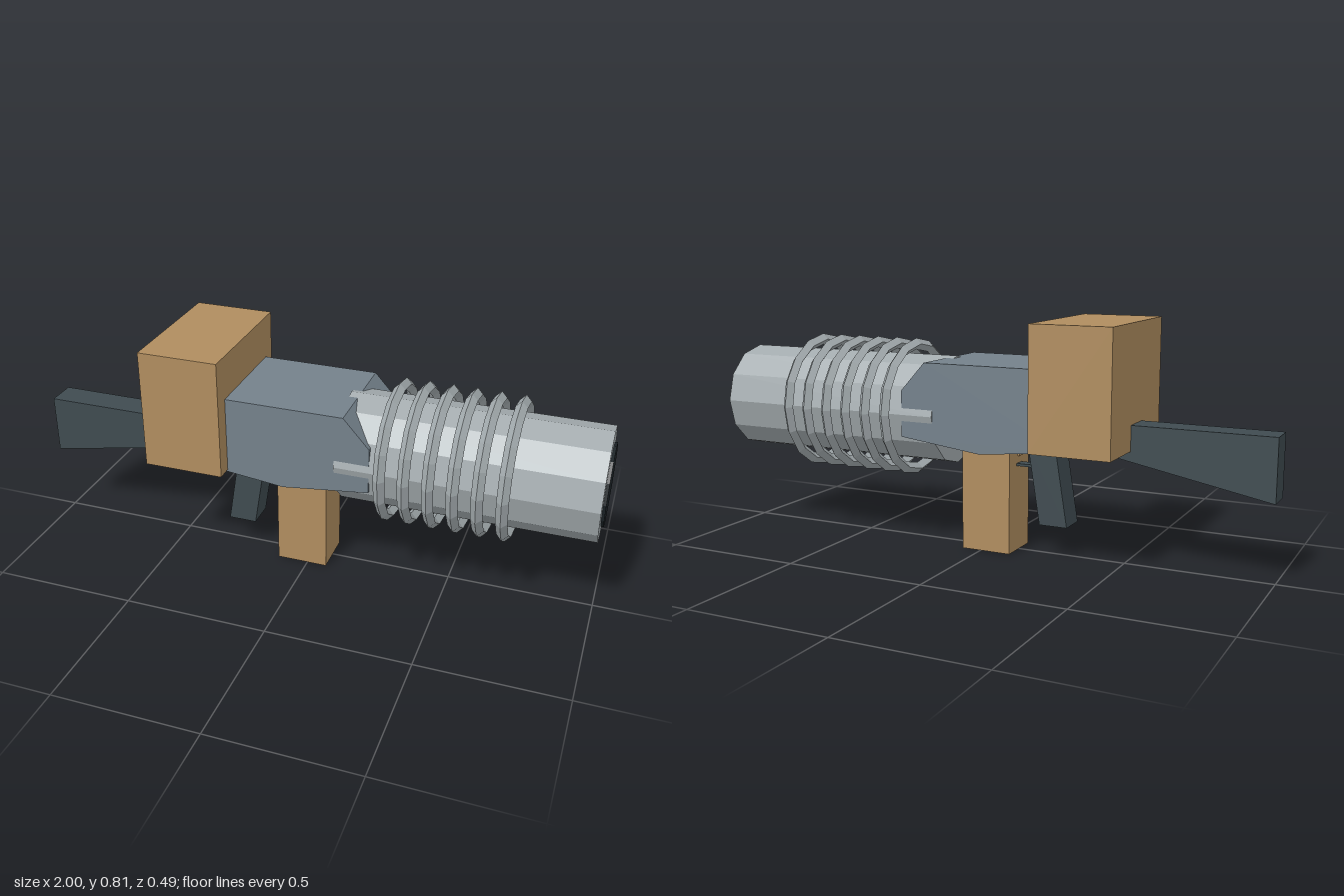
import * as THREE from 'three';

const mat = (color) => new THREE.MeshStandardMaterial({ color, flatShading: true });

export function createModel() {
  const model = new THREE.Group();
  const brown = mat(0xb08d5f), dark = mat(0x3f4b50), slate = mat(0x74818b);
  const steel = mat(0xa4acaf), black = mat(0x1c2327);
  const axisY = 0.477;

  const add = (name, geometry, material, x = 0, y = 0, z = 0) => {
    const mesh = new THREE.Mesh(geometry, material);
    mesh.name = name;
    mesh.position.set(x, y, z);
    model.add(mesh);
    return mesh;
  };
  // Box given by its x and y limits and its full depth
  const block = (name, material, x0, x1, y0, y1, depth) =>
    add(name, new THREE.BoxGeometry(x1 - x0, y1 - y0, depth), material, (x0 + x1) / 2, (y0 + y1) / 2);
  // Side profile extruded evenly about z = 0
  const slab = (name, material, points, depth) => {
    const shape = new THREE.Shape(points.map(([x, y]) => new THREE.Vector2(x, y)));
    const geometry = new THREE.ExtrudeGeometry(shape, { depth, bevelEnabled: false });
    return add(name, geometry.translate(0, 0, -depth / 2), material);
  };
  // Twelve-sided cylinder lying along x
  const tube = (name, material, radius, x0, x1) =>
    add(name, new THREE.CylinderGeometry(radius, radius, x1 - x0, 12).rotateZ(Math.PI / 2),
      material, (x0 + x1) / 2, axisY);

  // Receiver with a shallow keel and a sloped front top edge
  slab('receiver', slate, [
    [-0.34, 0.396], [-0.05, 0.364], [0.25, 0.4], [0.25, 0.56], [0.16, 0.66], [-0.34, 0.66],
  ], 0.368);

  // Barrel, bore and cooling rings
  tube('barrel', steel, 0.19, 0.13, 0.99);
  tube('bore', black, 0.137, 0.9, 1);
  for (let i = 0; i < 6; i++) {
    add('coolingRing', new THREE.TorusGeometry(0.225, 0.02, 4, 16).rotateY(Math.PI / 2),
      steel, 0.295 + i * 0.08, axisY);
  }

  // Large rear housing and front grip
  block('rearHousing', brown, -0.53, -0.25, 0.394, 0.81, 0.48);
  block('frontGrip', brown, -0.11, 0.07, 0, 0.4, 0.158);

  // Tapered stock and slanted handle
  slab('stock', dark, [[-1, 0.27], [-0.33, 0.398], [-0.33, 0.48], [-1, 0.48]], 0.104);
  slab('handle', dark, [[-0.31, 0.11], [-0.21, 0.11], [-0.163, 0.4], [-0.263, 0.4]], 0.1);

  // Trigger and its guard
  slab('trigger', brown, [[-0.118, 0.335], [-0.1, 0.335], [-0.1, 0.39], [-0.126, 0.39]], 0.03);
  block('triggerGuard', dark, -0.19, -0.1, 0.3, 0.309, 0.04);

  return model;
}
